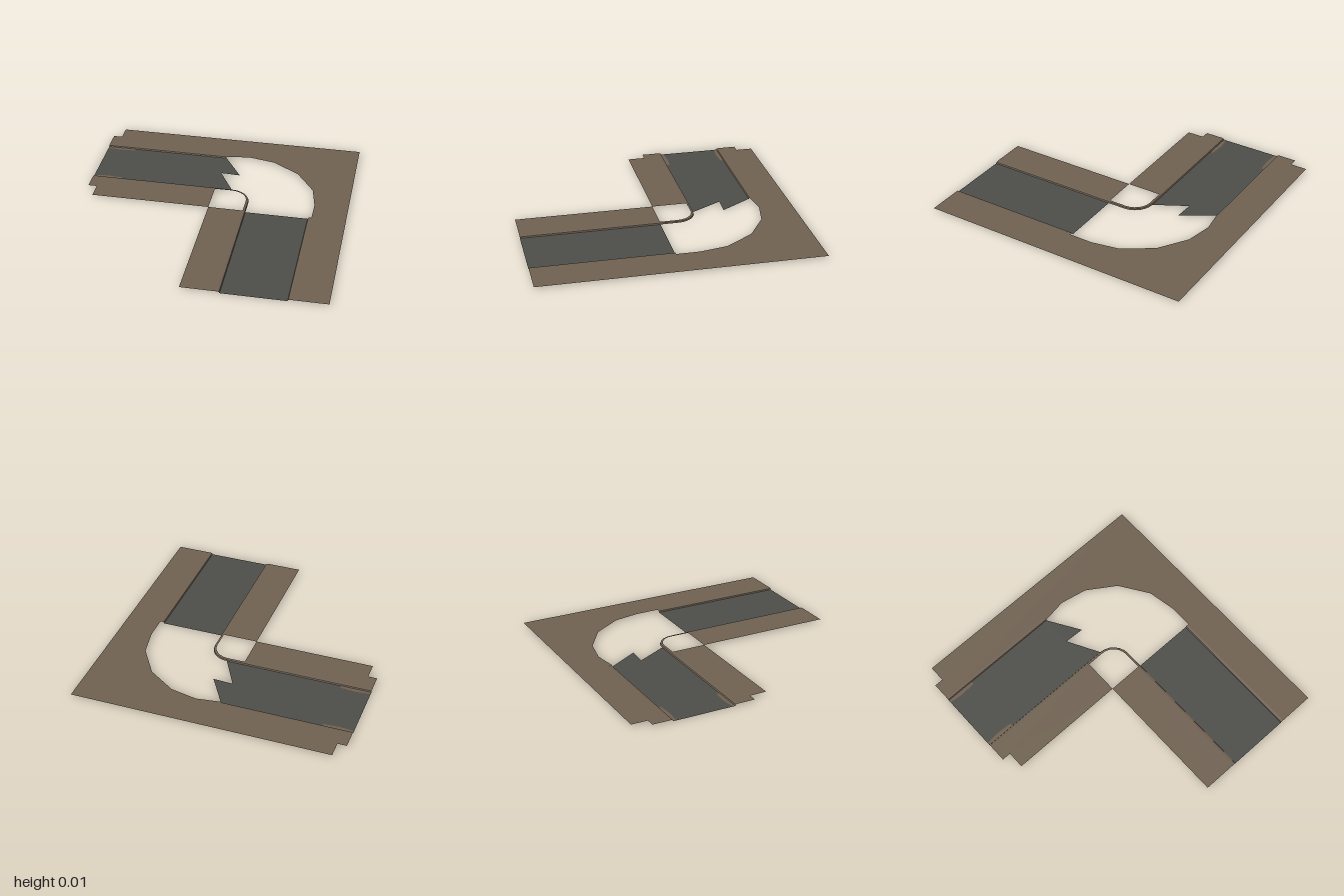
import * as THREE from 'three';

const TOP = 0.012; // pavement height above the road

// Flat sheet from [x, z] outline points, facing up at height y
function sheet(name, pts, y, material) {
  const shape = new THREE.Shape(pts.map(([x, z]) => new THREE.Vector2(x, -z)));
  const geo = new THREE.ShapeGeometry(shape).rotateX(-Math.PI / 2).translate(0, y, 0);
  const mesh = new THREE.Mesh(geo, material);
  mesh.name = name;
  return mesh;
}

// Kerb: a small stepped profile swept along a path of [x, z] points
function kerb(name, path, material) {
  const profile = [[0, 0], [0.004, 0.0095], [0.02, TOP]]; // offset from road, height
  const pos = [], idx = [], n = profile.length;
  path.forEach((p, i) => {
    const a = path[Math.max(i - 1, 0)], b = path[Math.min(i + 1, path.length - 1)];
    const dx = b[0] - a[0], dz = b[1] - a[1], len = Math.hypot(dx, dz);
    for (const [o, y] of profile) pos.push(p[0] - (dz / len) * o, y, p[1] + (dx / len) * o);
    if (i === 0) return;
    for (let j = 0; j < n - 1; j++) {
      const k = (i - 1) * n + j;
      idx.push(k, k + 1, k + n, k + 1, k + n + 1, k + n);
    }
  });
  let geo = new THREE.BufferGeometry();
  geo.setAttribute('position', new THREE.Float32BufferAttribute(pos, 3));
  geo.setIndex(idx);
  geo = geo.toNonIndexed();
  geo.computeVertexNormals();
  const mesh = new THREE.Mesh(geo, material);
  mesh.name = name;
  return mesh;
}

export function createModel() {
  const paving = new THREE.MeshStandardMaterial({ color: 0x6f6151, side: THREE.DoubleSide });
  paving.name = 'brownPaving';
  const asphalt = new THREE.MeshStandardMaterial({ color: 0x4d4d49, side: THREE.DoubleSide });
  asphalt.name = 'greyAsphalt';

  const model = new THREE.Group();
  model.name = 'roadCorner';

  // Road surfaces; the side arm ends in a jagged edge at the open bend
  model.add(
    sheet('sideRoad', [[-0.97, -0.73], [-0.035, -0.73], [0.11, -0.497], [-0.035, -0.505],
      [0.092, -0.275], [-0.97, -0.275]], 0, asphalt),
    sheet('frontRoad', [[0.238, 0], [0.69, 0], [0.69, 1], [0.238, 1]], 0, asphalt),
  );

  // Outer pavement wraps the corner around the bend opening
  model.add(sheet('outerPavement', [
    [-0.905, -1], [0.965, -1], [0.965, 1], [0.71, 1], [0.71, 0], [0.718, 0],
    [0.718, -0.17], [0.68, -0.37], [0.54, -0.58], [0.335, -0.715], [0.14, -0.755],
    [-0.035, -0.73], [-0.035, -0.75], [-0.97, -0.75], [-0.97, -0.88], [-0.905, -0.88],
  ], TOP, paving));

  // Inner pavements on either side of the empty inside corner
  model.add(
    sheet('innerSidePavement', [[-0.97, -0.255], [-0.035, -0.255], [-0.035, 0], [-0.905, 0],
      [-0.905, -0.125], [-0.97, -0.125]], TOP, paving),
    sheet('innerFrontPavement', [[-0.035, 0], [0.218, 0], [0.218, 1], [-0.035, 1]], TOP, paving),
  );

  // Inner kerb: straight, quarter turn, straight
  const inner = [[-0.97, -0.275]];
  for (let i = 0; i <= 6; i++) {
    const t = (i / 6) * Math.PI / 2;
    inner.push([0.093 + 0.145 * Math.sin(t), -0.13 - 0.145 * Math.cos(t)]);
  }
  inner.push([0.238, 1]);
  model.add(kerb('innerKerb', inner, paving));

  // Outer kerbs
  model.add(
    kerb('outerFrontKerb', [[0.69, 1], [0.69, 0]], paving),
    kerb('outerSideKerb', [[-0.035, -0.73], [-0.97, -0.73]], paving),
  );

  // Worn paving slivers at the end of the side road
  for (const [z, s] of [[-0.73, 1], [-0.275, -1]]) {
    model.add(sheet('gutterPatch', [[-0.97, z], [-0.755, z], [-0.755, z + s * 0.022],
      [-0.87, z + s * 0.03], [-0.97, z + s * 0.02]], 0.001, paving));
  }
  return model;
}
